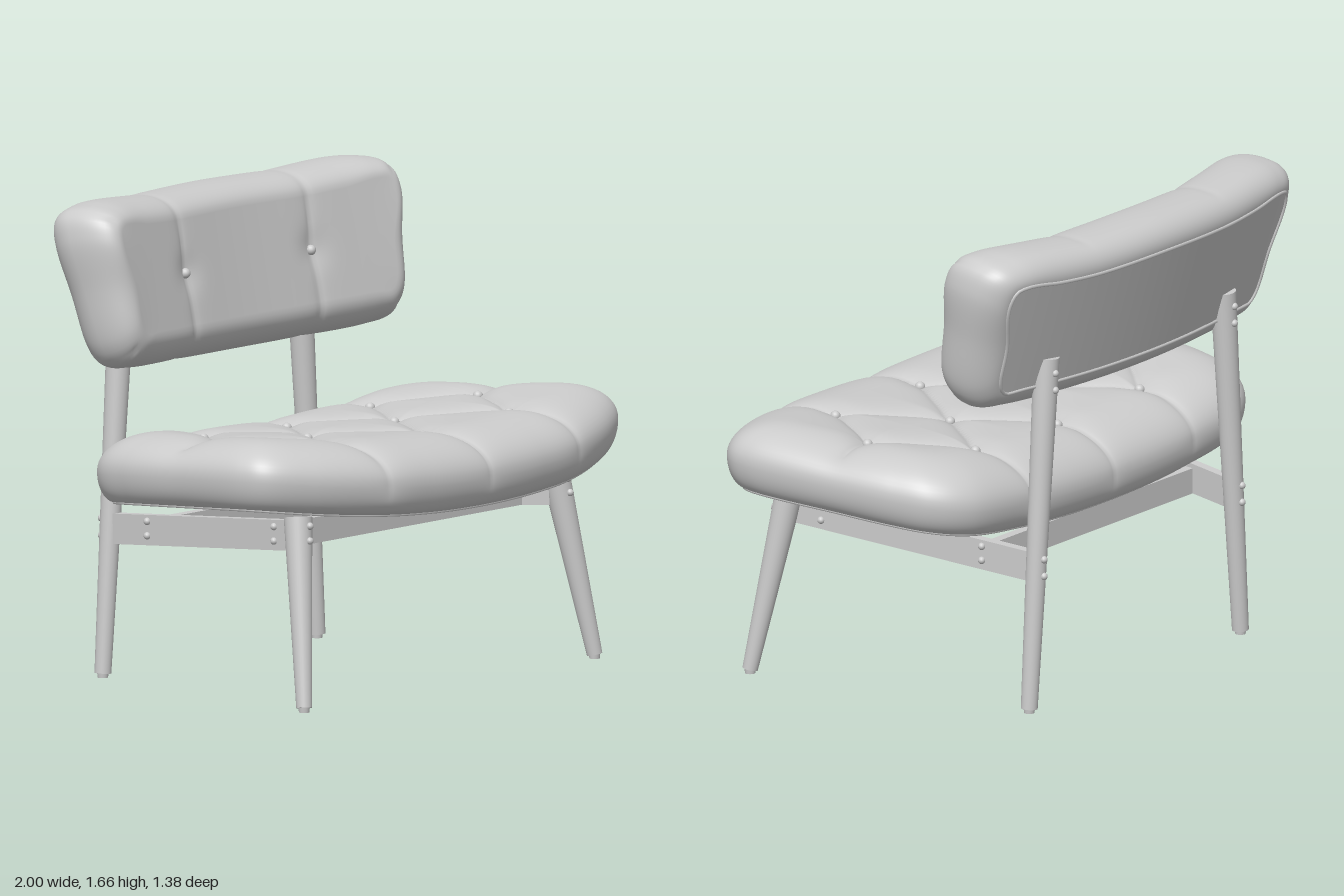
import * as THREE from 'three';

const mat = new THREE.MeshStandardMaterial({ color: 0xcccccc, roughness: 0.8 });
const V = (x, y, z) => new THREE.Vector3(x, y, z);

function add(parent, name, geo) {
  const mesh = new THREE.Mesh(geo, mat);
  mesh.name = name;
  parent.add(mesh);
  return mesh;
}

// Closed rings of points joined into a smooth skin
function skin(rings) {
  const n = rings[0].length, pos = [], idx = [];
  rings.forEach((ring, j) => ring.forEach((p, i) => {
    pos.push(p.x, p.y, p.z);
    if (j === rings.length - 1) return;
    const k = (i + 1) % n, a = j * n + i, b = a + n, c = (j + 1) * n + k, d = j * n + k;
    idx.push(a, b, c, a, c, d);
  }));
  const geo = new THREE.BufferGeometry();
  geo.setAttribute('position', new THREE.Float32BufferAttribute(pos, 3));
  geo.setIndex(idx);
  geo.computeVertexNormals();
  return geo;
}

function segDist(x, z, [ax, az, bx, bz]) {
  const dx = bx - ax, dz = bz - az;
  const t = THREE.MathUtils.clamp(((x - ax) * dx + (z - az) * dz) / (dx * dx + dz * dz), 0, 1);
  return Math.hypot(x - ax - t * dx, z - az - t * dz);
}

// Tufted cushion lying in the (u, v) plane with height h; place() puts it in the model
function cushion(o) {
  const group = new THREE.Group();
  group.name = o.name;
  const half = o.outline;
  const mirrored = half.slice(1, -1).reverse().map(([u, v]) => [-u, v]);
  const curve = new THREE.CatmullRomCurve3([...half, ...mirrored].map(([u, v]) => V(u, 0, v)), true);
  curve.arcLengthDivisions = 1000;
  const edge = curve.getSpacedPoints(o.segments).slice(0, -1);

  const dent = (u, v) => {
    let d = 0, b = 0;
    for (const s of o.seams) {
      const e = segDist(u, v, s);
      d = Math.max(d, o.depth * Math.exp(-e / 0.055) + 0.006 * Math.exp(-e / 0.012));
    }
    for (const [x, z] of o.buttons) b = Math.max(b, 0.012 * Math.exp(-(((u - x) ** 2 + (v - z) ** 2) / 0.004)));
    return d + b;
  };
  // Rings shrink towards a straight spine; a runs from 0 on the face, PI/2 at the rim, to PI underneath
  const ring = (a, k = 1) => edge.map(p => {
    const cu = THREE.MathUtils.clamp(p.x, -o.spine, o.spine);
    const r = Math.hypot(p.x - cu, p.z - o.cz);
    const at = s => [cu + (p.x - cu) * s, o.cz + (p.z - o.cz) * s];
    const inset = (a < Math.PI / 2 ? o.insetTop : o.insetBottom) * (1 - Math.sin(a));
    const s = k * (1 - inset / r);
    const d = a < 2.2 ? dent(...at(s)) : 0;
    const fade = a < Math.PI / 2 ? 1 : Math.max(0, (2.2 - a) / 0.63);
    const [u, v] = at(s - 0.3 * Math.sin(a) * d * fade / r);
    const rise = a < Math.PI / 2 ? o.thick(u, v) - o.rim : o.rim;
    return o.place(u, o.base(u, v) + o.rim + rise * Math.cos(a) - d * Math.max(0, Math.cos(a)), v);
  });

  const rings = [];
  for (let j = 0; j <= o.steps; j++) rings.push(ring(0, j / o.steps));
  for (let j = 1; j <= 28; j++) rings.push(ring(Math.PI * j / 28));
  add(group, 'padding', skin(rings));
  const panel = [];
  for (let j = 8; j >= 0; j--) panel.push(ring(Math.PI, j / 8));
  add(group, 'underPanel', skin(panel));

  const path = new THREE.CatmullRomCurve3(panel[0].filter((p, i) => i % 4 === 0), true);
  add(group, 'piping', new THREE.TubeGeometry(path, 200, 0.007, 6, true));

  for (const [u, v] of o.buttons) {
    const button = add(group, 'button', new THREE.SphereGeometry(0.018, 16, 10));
    button.position.copy(o.place(u, o.base(u, v) + o.thick(u, v) - dent(u, v) + 0.008, v));
  }
  return group;
}

const mirrorSeams = list => list.flatMap(([a, b, c, d]) => [[a, b, c, d], [-a, b, -c, d]]);

// Tapered round bar between two points
function bar(parent, name, a, b, ra, rb) {
  const dir = b.clone().sub(a);
  const mesh = add(parent, name, new THREE.CylinderGeometry(rb, ra, dir.length(), 28));
  mesh.position.copy(a).lerp(b, 0.5);
  mesh.quaternion.setFromUnitVectors(V(0, 1, 0), dir.normalize());
}

// Flat board between two points
function board(parent, name, a, b, height, width) {
  const mesh = add(parent, name, new THREE.BoxGeometry(width, height, a.distanceTo(b)));
  mesh.position.copy(a).lerp(b, 0.5);
  mesh.lookAt(b);
}

function screw(parent, x, y, z) {
  add(parent, 'screw', new THREE.SphereGeometry(0.013, 12, 8)).position.set(x, y, z);
}

export function createModel() {
  const model = new THREE.Group();
  model.name = 'loungeChair';

  // Seat: wide, dished, diamond tufted
  model.add(cushion({
    name: 'seat', segments: 440, steps: 52, cz: 0.1, spine: 0.45, depth: 0.024,
    insetTop: 0.25, insetBottom: 0.06, rim: 0.105,
    outline: [[0, 0.69], [0.3, 0.683], [0.53, 0.66], [0.82, 0.565], [0.97, 0.465], [1, 0.37], [0.965, 0.03],
      [0.925, -0.2], [0.87, -0.34], [0.75, -0.43], [0.45, -0.46], [0, -0.465]],
    base: (u, v) => 0.608 + 0.045 * v + 0.09 * u * u,
    thick: u => 0.262 - 0.012 * u * u,
    place: (u, h, v) => V(u, h, v),
    seams: mirrorSeams([
      [0.715, 0.06, 0.46, -0.21], [0.46, -0.21, 0.24, 0.07], [0.24, 0.07, 0, -0.21],
      [0.715, 0.06, 0.5, 0.365], [0.5, 0.365, 0.24, 0.07], [0.24, 0.07, 0, 0.385],
      [0.715, 0.06, 0.88, 0.04], [0.5, 0.365, 0.53, 0.7], [0.46, -0.21, 0.45, -0.5],
      [0, 0.385, 0, 0.7], [0, -0.21, 0, -0.5]]),
    buttons: [[-0.46, -0.21], [0, -0.21], [0.46, -0.21], [-0.715, 0.06], [-0.24, 0.07], [0.24, 0.07],
      [0.715, 0.06], [-0.5, 0.365], [0, 0.385], [0.5, 0.365]],
  }));

  // Backrest: leaning, curved round the sitter; v runs down from y = 1.37
  const Y = 1.37;
  const lean = (u, v) => -0.555 - 0.3 * (Y - v - 1.12) + 0.13 * u * u;
  model.add(cushion({
    name: 'backrest', segments: 300, steps: 36, cz: 0, spine: 0.55, depth: 0.01,
    insetTop: 0.1, insetBottom: 0.085, rim: 0.1,
    outline: [[0, 1.08], [0.36, 1.083], [0.64, 1.093], [0.74, 1.11], [0.785, 1.17], [0.82, 1.37],
      [0.842, 1.55], [0.815, 1.63], [0.72, 1.655], [0.36, 1.643], [0, 1.645]].map(([x, y]) => [x, Y - y]),
    base: lean,
    thick: (u, v) => 0.227 + 0.1 * (Y - v - 1.12) + 0.015 * u * u,
    place: (u, h, v) => V(u, Y - v + 0.2 * (h - lean(u, v) - 0.1), h),
    seams: mirrorSeams([[0.365, -0.3, 0.347, -0.01], [0.347, -0.01, 0.347, 0.3],
      [0.73, 0.22, 0.8, 0.28], [0.77, -0.22, 0.84, -0.29]]),
    buttons: [[-0.347, 0.01], [0.347, 0.01]],
  }));

  // Frame, one side at a time
  for (const s of [1, -1]) {
    const side = new THREE.Group();
    side.name = s > 0 ? 'leftFrame' : 'rightFrame';
    model.add(side);

    bar(side, 'frontLeg', V(s * 0.803, 0.015, 0.5), V(s * 0.71, 0.655, 0.4), 0.027, 0.049);
    bar(side, 'frontFoot', V(s * 0.803, 0, 0.5), V(s * 0.803, 0.02, 0.5), 0.018, 0.02);
    bar(side, 'rearLeg', V(s * 0.592, 0.015, -0.545), V(s * 0.495, 1.25, -0.545), 0.029, 0.045);
    bar(side, 'rearFoot', V(s * 0.592, 0, -0.545), V(s * 0.592, 0.02, -0.545), 0.018, 0.02);
    board(side, 'sideRail', V(s * 0.69, 0.59, 0.4), V(s * 0.555, 0.515, -0.52), 0.105, 0.035);

    for (const y of [0.63, 0.58]) screw(side, s * (0.71 + (0.65 - y) * 0.14), y, 0.452 + (0.65 - y) * 0.1);
    for (const y of [0.545, 0.485]) screw(side, s * 0.555, y, -0.58);
    for (const y of [1.2, 1.14]) screw(side, s * 0.502, y, -0.588);
    for (const y of [0.61, 0.56]) screw(side, s * 0.691, y, 0.28);
    for (const y of [0.56, 0.51]) screw(side, s * 0.6, y, -0.345);
  }

  // Cross rails under the seat
  board(model, 'frontCrossRail', V(-0.665, 0.575, 0.28), V(0.665, 0.575, 0.28), 0.09, 0.035);
  board(model, 'rearCrossRail', V(-0.575, 0.52, -0.345), V(0.575, 0.52, -0.345), 0.09, 0.035);

  return model;
}
